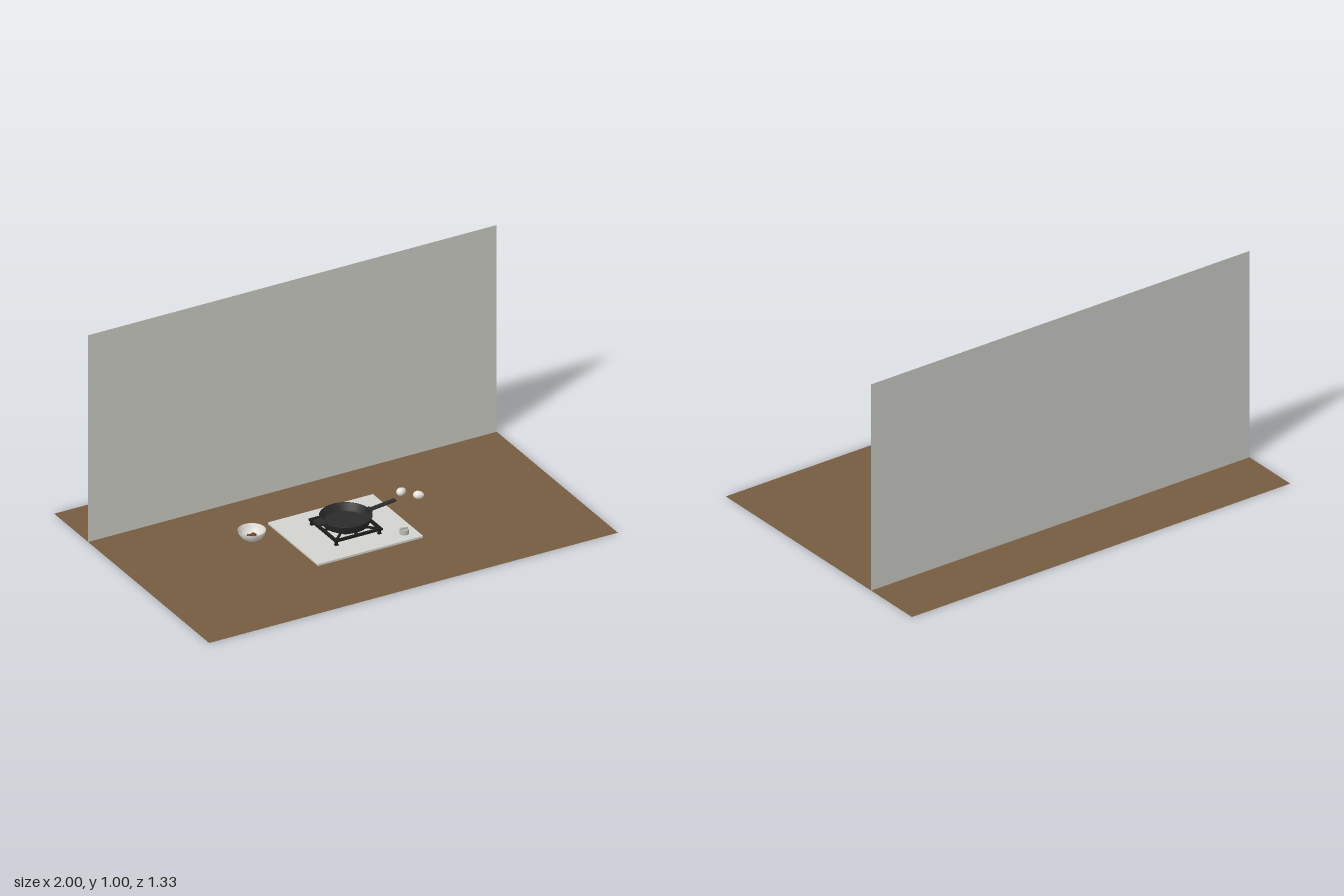
import * as THREE from 'three';
import { RoundedBoxGeometry } from 'three/addons/geometries/RoundedBoxGeometry.js';

const mat = (name, color, side = THREE.FrontSide) => {
  const m = new THREE.MeshStandardMaterial({ color, side });
  m.name = name;
  return m;
};

export function createModel() {
  const wood = mat('brown counter', 0x765c42, THREE.DoubleSide);
  const plaster = mat('grey wall', 0xcbcbc5, THREE.DoubleSide);
  const steel = mat('pale steel', 0xd2d2ce);
  const knobGrey = mat('knob grey', 0xb4b4b0);
  const iron = mat('cast iron', 0x2b2b2b, THREE.DoubleSide);
  const black = mat('grate black', 0x1b1b1b);
  const china = mat('china', 0xdcdad4, THREE.DoubleSide);
  const shell = mat('eggshell', 0xe8e4dc);
  const spice = mat('brown food', 0x744a2e);

  const root = new THREE.Group();
  root.name = 'cookingScene';
  const add = (parent, name, geometry, material, x = 0, y = 0, z = 0) => {
    const m = new THREE.Mesh(geometry, material);
    m.name = name;
    m.position.set(x, y, z);
    parent.add(m);
    return m;
  };
  const group = (name, x, y, z) => {
    const g = new THREE.Group();
    g.name = name;
    g.position.set(x, y, z);
    root.add(g);
    return g;
  };
  const lathe = (pts, n = 48) => new THREE.LatheGeometry(pts.map(p => new THREE.Vector2(...p)), n);
  const cyl = (r1, r2, h, n = 32) => new THREE.CylinderGeometry(r1, r2, h, n);
  const box = (w, h, d) => new THREE.BoxGeometry(w, h, d);

  // Counter and upright wall are single sheets
  add(root, 'counter', new THREE.PlaneGeometry(2, 1.334).rotateX(-Math.PI / 2), wood, 0, 0.001, 0);
  add(root, 'wall', new THREE.PlaneGeometry(2, 1), plaster, 0, 0.5, -0.375);

  // Stove plate and burner
  const stove = group('stove', 0, 0, 0.082);
  add(stove, 'stovePlate', new RoundedBoxGeometry(0.514, 0.012, 0.431, 2, 0.002), steel, 0, 0.006, 0);
  add(stove, 'burnerBase', cyl(0.046, 0.049, 0.007), black, 0, 0.0155, 0);
  add(stove, 'burnerCap', cyl(0.032, 0.035, 0.006), black, 0, 0.022, 0);

  // Control knob
  add(stove, 'knob', cyl(0.019, 0.021, 0.02), knobGrey, 0.198, 0.022, 0.157);
  add(stove, 'knobGrip', box(0.034, 0.006, 0.005), knobGrey, 0.198, 0.035, 0.157);

  // Grate: square frame, diagonal bars and four legs
  const grate = group('grate', 0, 0, 0.083);
  for (let i = 0; i < 4; i++) {
    const arm = new THREE.Group();
    arm.name = 'grateSide';
    arm.rotation.y = i * Math.PI / 2;
    grate.add(arm);
    add(arm, 'frameBar', box(0.232, 0.009, 0.014), black, 0, 0.0345, 0.109);
    add(arm, 'innerBar', box(0.01, 0.008, 0.072), black, 0, 0.035, 0.072);
    add(arm, 'leg', box(0.011, 0.022, 0.011), black, 0.105, 0.023, 0.105);
    add(arm, 'foot', box(0.016, 0.003, 0.016), black, 0.105, 0.0135, 0.105);
    add(arm, 'diagonalBar', box(0.1, 0.008, 0.009), black, 0.072, 0.035, 0.072).rotation.y = -Math.PI / 4;
  }

  // Frying pan with a long handle and a short helper handle
  const pan = group('fryingPan', 0, 0, 0.084);
  add(pan, 'panBody', lathe([
    [0, 0.04], [0.094, 0.04], [0.1, 0.043], [0.114, 0.078], [0.114, 0.081],
    [0.109, 0.081], [0.097, 0.05], [0.092, 0.047], [0, 0.047],
  ]), iron);
  const handle = add(pan, 'longHandle', new RoundedBoxGeometry(0.135, 0.01, 0.021, 3, 0.004), iron, 0.176, 0.082, 0);
  handle.rotation.z = 0.11;
  add(pan, 'handleRoot', box(0.022, 0.016, 0.028), iron, 0.113, 0.074, 0);
  const tab = new THREE.Shape([
    [-0.105, -0.028], [-0.139, -0.028], [-0.146, -0.021],
    [-0.146, 0.021], [-0.139, 0.028], [-0.105, 0.028],
  ].map(p => new THREE.Vector2(...p)));
  const tabGeometry = new THREE.ExtrudeGeometry(tab, { depth: 0.008, bevelEnabled: false });
  add(pan, 'helperHandle', tabGeometry.rotateX(-Math.PI / 2), iron, 0, 0.075, 0);

  // Bowl with three small pieces of food
  const bowl = group('bowl', -0.382, 0, -0.052);
  add(bowl, 'bowlBody', lathe([
    [0, 0.002], [0.028, 0.002], [0.031, 0.005], [0.047, 0.016], [0.057, 0.032], [0.061, 0.047],
    [0.058, 0.047], [0.053, 0.032], [0.043, 0.018], [0.028, 0.009], [0, 0.007],
  ]), china);
  for (let i = 0; i < 3; i++) {
    const a = Math.PI / 2 + i * Math.PI * 2 / 3;
    const piece = add(bowl, 'foodPiece', box(0.019, 0.012, 0.016), spice,
      Math.cos(a) * 0.014, 0.016, Math.sin(a) * 0.014);
    piece.rotation.y = i * 0.9;
  }

  // Two eggs lying on the counter
  const eggGeometry = lathe(Array.from({ length: 17 }, (_, i) => {
    const t = -Math.PI / 2 + Math.PI * i / 16;
    return [Math.max(0, Math.cos(t) * 0.018 * (1 - 0.12 * Math.sin(t))), Math.sin(t) * 0.0235];
  }), 28).rotateZ(-Math.PI / 2);
  for (const [x, z, turn] of [[0.366, -0.082, 0.3], [0.415, -0.019, -0.55]]) {
    add(root, 'egg', eggGeometry, shell, x, 0.0185, z).rotation.y = turn;
  }
  return root;
}
